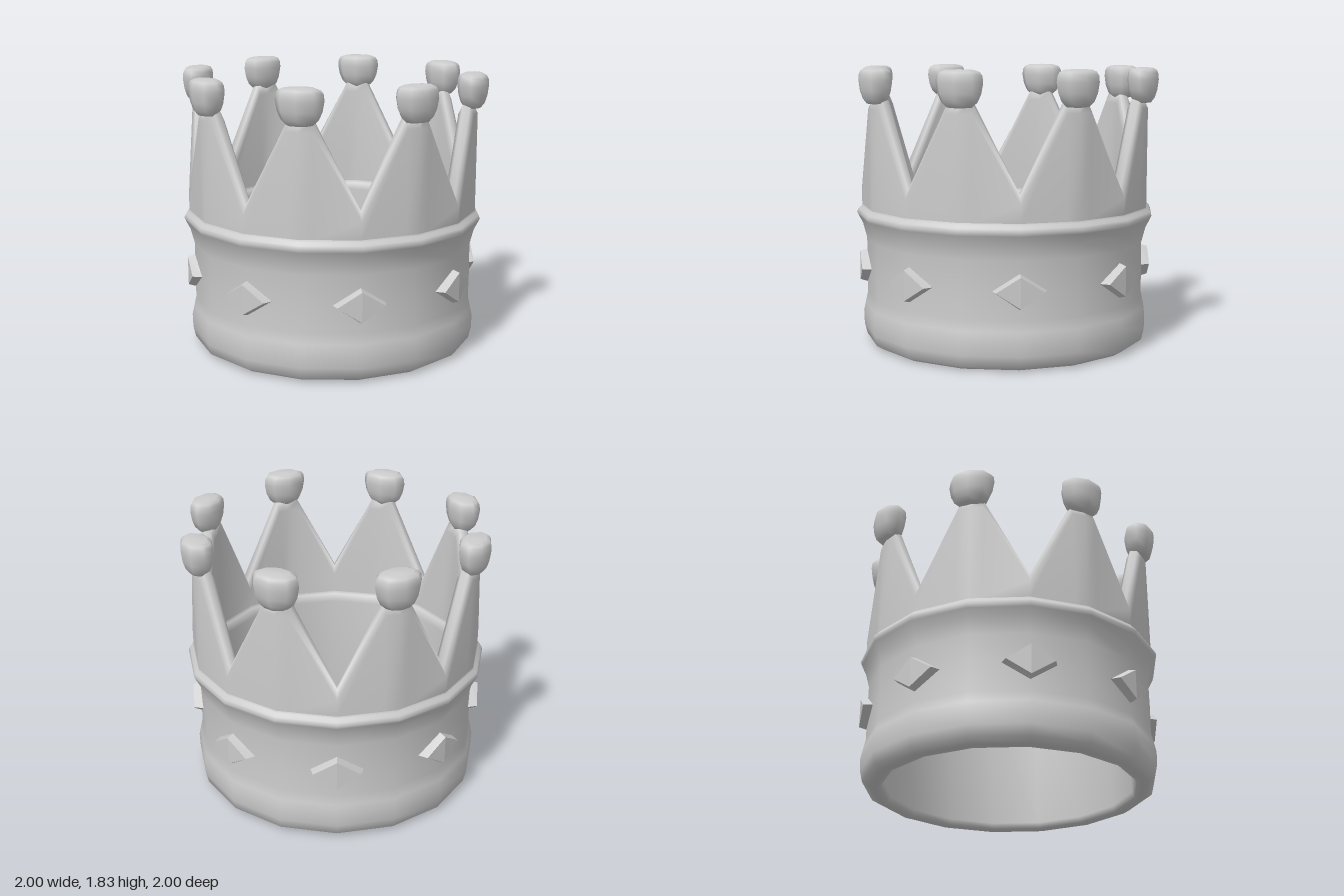
import * as THREE from 'three';

const SIDES = 16, SPIKES = 8;
const R_OUT = 0.965, R_IN = 0.86;
const mat = new THREE.MeshStandardMaterial({ color: 0xcccccc, roughness: 0.7 });
const flatMat = new THREE.MeshStandardMaterial({ color: 0xcccccc, roughness: 0.7, flatShading: true });

const profile = (pts) => pts.map(([r, y]) => new THREE.Vector2(r, y));

function addMesh(parent, name, geometry, material = mat) {
  const mesh = new THREE.Mesh(geometry, material);
  mesh.name = name;
  parent.add(mesh);
  return mesh;
}

function fromRings(positions, index) {
  const g = new THREE.BufferGeometry();
  g.setAttribute('position', new THREE.Float32BufferAttribute(positions, 3));
  g.setIndex(index);
  g.computeVertexNormals();
  return g;
}

// Wall of triangular points: a closed run of cross-sections whose height rises and falls
function spikeWallGeometry() {
  const step = Math.PI / SPIKES; // valley to peak
  const tip = 0.78, low = 1.09, high = 1.63;
  const columns = [];
  for (let i = 0; i < SPIKES; i++) {
    const a = i * 2 * step;
    columns.push([a, a + step, 0, low], [a, a + step, tip, high],
      [a, a + step, 1, high], [a + step, a + 2 * step, 1 - tip, high]);
  }
  const pos = [], index = [];
  const rows = 6;
  columns.forEach(([a0, a1, f, h]) => {
    // position along the straight side between two corners
    const dx = THREE.MathUtils.lerp(Math.sin(a0), Math.sin(a1), f);
    const dz = THREE.MathUtils.lerp(Math.cos(a0), Math.cos(a1), f);
    const section = [[R_OUT, 0.92], [R_OUT, h - 0.06], [R_OUT - 0.028, h],
      [R_IN + 0.028, h], [R_IN, h - 0.06], [R_IN, 0.9]];
    section.forEach(([r, y]) => pos.push(dx * r, y, dz * r));
  });
  for (let i = 0; i < columns.length; i++) {
    const n = (i + 1) % columns.length;
    for (let j = 0; j < rows - 1; j++) {
      const a = i * rows + j, b = n * rows + j;
      index.push(a, b, b + 1, a, b + 1, a + 1);
    }
  }
  return fromRings(pos, index);
}

// Lozenge stone with a narrower front, bent slightly around the band
function gemGeometry() {
  const ring = (w, h, rMid, rSide) =>
    [w, 0.5, rSide, 0, 0.5 + h, rMid, -w, 0.5, rSide, 0, 0.5 - h, rMid];
  const pos = [...ring(0.167, 0.112, 0.935, 0.905), ...ring(0.15, 0.097, 0.985, 0.967)];
  const index = [4, 5, 7, 5, 6, 7];
  for (let i = 0; i < 4; i++) {
    const n = (i + 1) % 4;
    index.push(i, n, n + 4, i, n + 4, i + 4);
  }
  return fromRings(pos, index);
}

export function createModel() {
  const crown = new THREE.Group();
  crown.name = 'crown';

  // Band: down the inside, under the foot and up the moulded outside
  addMesh(crown, 'band', new THREE.LatheGeometry(profile([
    [R_IN, 0.9], [0.855, 0.88], [0.81, 0.84], [0.81, 0.04], [0.83, 0.005], [0.865, 0],
    [0.9, 0.003], [0.945, 0.03], [0.962, 0.1], [0.965, 0.19], [0.952, 0.25],
    [0.936, 0.32], [0.938, 0.5], [0.936, 0.69], [0.962, 0.79], [0.99, 0.845],
    [1.0, 0.868], [0.99, 0.89], [0.97, 0.907], [R_OUT, 0.92],
  ]), SIDES));

  addMesh(crown, 'spikes', spikeWallGeometry());

  // Flattened knob on each spike
  const knob = new THREE.LatheGeometry(profile([
    [0, 1.6], [0.08, 1.608], [0.115, 1.64], [0.138, 1.69], [0.15, 1.755],
    [0.145, 1.795], [0.13, 1.817], [0.095, 1.83], [0, 1.834],
  ]), 8);
  knob.scale(1, 1, 0.68);
  knob.translate(0, 0, 0.93);
  const gem = gemGeometry();

  for (let i = 0; i < SPIKES; i++) {
    const angle = (i * 2 * Math.PI) / SPIKES;
    addMesh(crown, 'knob', knob).rotation.y = angle + Math.PI / SPIKES;
    addMesh(crown, 'gem', gem, flatMat).rotation.y = angle;
  }
  return crown;
}
